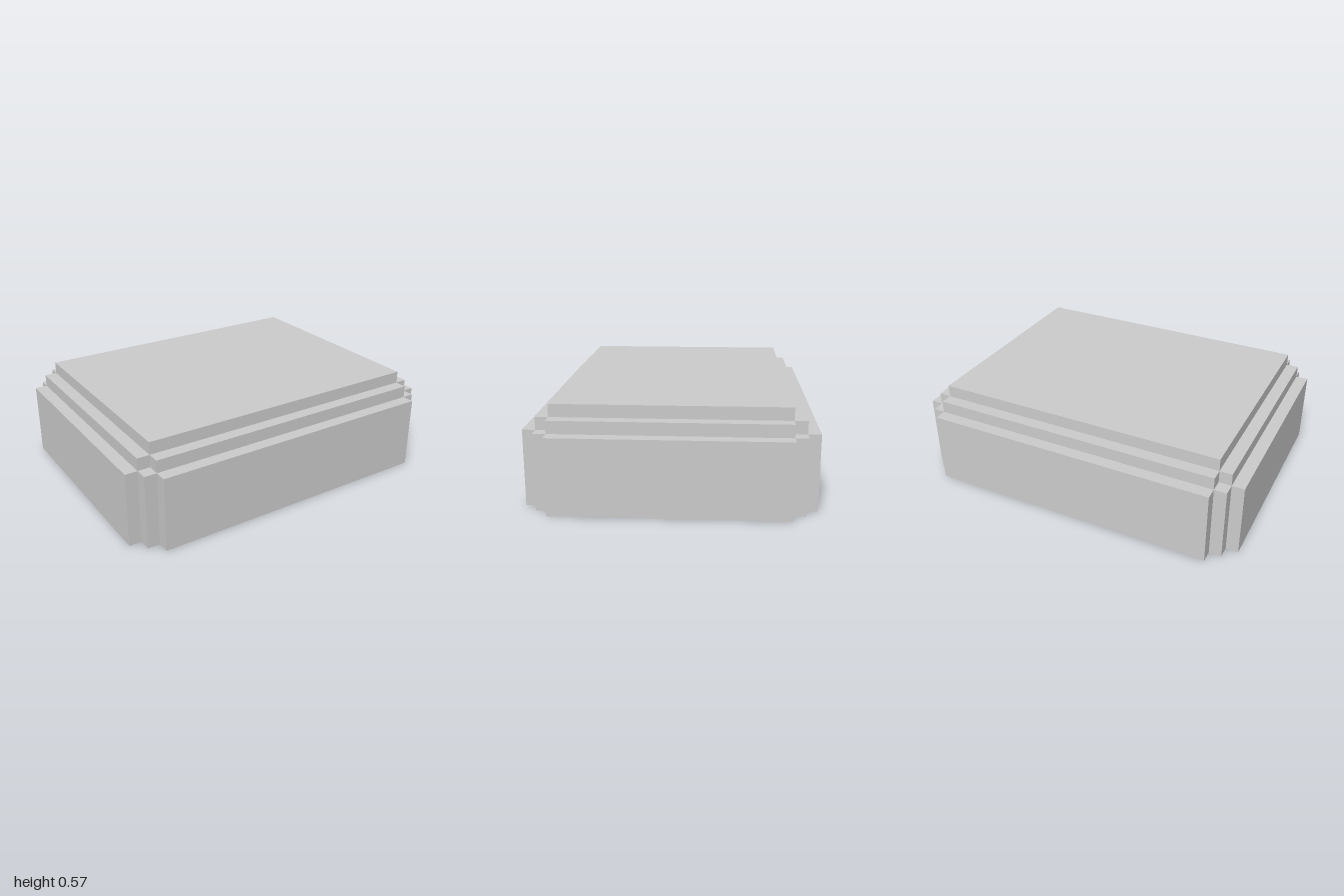
import * as THREE from 'three';

const STEP = 1 / 14; // size of one stair step

// Rectangle outline whose four corners are cut into square stairs
function steppedOutline(halfX, halfZ, steps) {
  const corner = [];
  for (let i = 0; i <= steps; i++) {
    corner.push([halfX - i * STEP, halfZ - (steps - i) * STEP]);
    if (i < steps) corner.push([halfX - (i + 1) * STEP, halfZ - (steps - i) * STEP]);
  }
  const mirrored = [...corner].reverse();
  const points = [
    ...corner,
    ...mirrored.map(([x, z]) => [-x, z]),
    ...corner.map(([x, z]) => [-x, -z]),
    ...mirrored.map(([x, z]) => [x, -z]),
  ];
  return new THREE.Shape(points.map(([x, z]) => new THREE.Vector2(x, z)));
}

export function createModel() {
  const group = new THREE.Group();
  group.name = 'steppedBlock';
  const material = new THREE.MeshStandardMaterial({ color: 0xcccccc, flatShading: true });

  // Each tier is one step smaller all round, with one stair fewer at its corners
  const tiers = [
    { name: 'baseTier', bottom: 0, height: 6 * STEP, steps: 2 },
    { name: 'middleTier', bottom: 6 * STEP, height: STEP, steps: 1 },
    { name: 'topSlab', bottom: 7 * STEP, height: STEP, steps: 0 },
  ];
  for (const { name, bottom, height, steps } of tiers) {
    const outline = steppedOutline((12 + steps) * STEP, (9 + steps) * STEP, steps);
    const geometry = new THREE.ExtrudeGeometry(outline, { depth: height, bevelEnabled: false });
    geometry.rotateX(-Math.PI / 2);
    const tier = new THREE.Mesh(geometry, material);
    tier.name = name;
    tier.position.y = bottom;
    group.add(tier);
  }
  return group;
}
